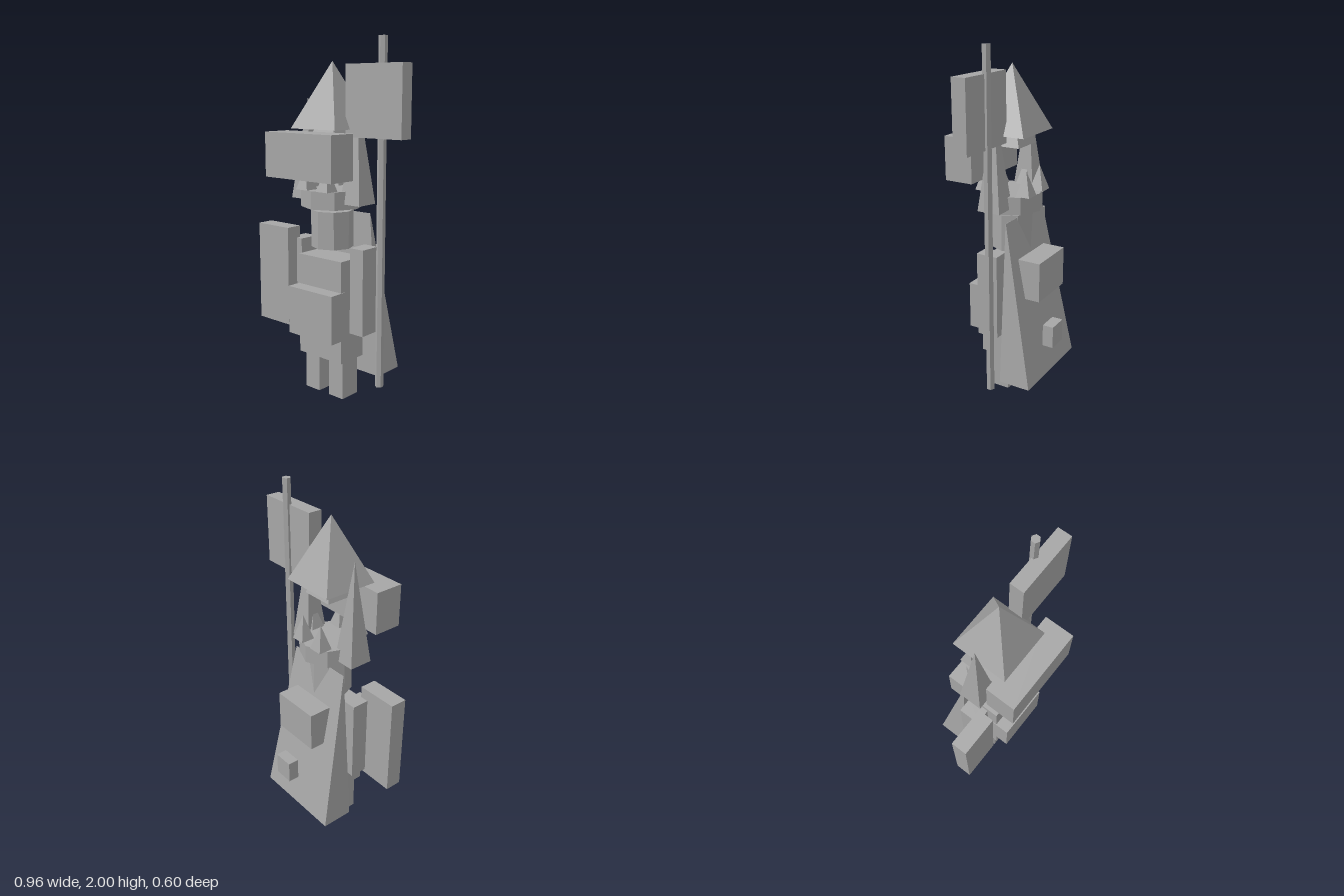
import * as THREE from 'three';

export function createModel() {
  const model = new THREE.Group();
  model.name = 'armouredFigure';
  const stone = new THREE.MeshStandardMaterial({ color: 0xa6a6a6 });
  stone.name = 'stone grey';
  const CX = -0.018, CZ = 0.022; // axis of the body

  const add = (name, geometry, x = 0, y = 0, z = 0) => {
    const mesh = new THREE.Mesh(geometry, stone);
    mesh.name = name;
    mesh.position.set(x, y, z);
    model.add(mesh);
    return mesh;
  };
  // box from its bounds on each axis
  const block = (name, [x0, x1], [y0, y1], [z0, z1]) =>
    add(name, new THREE.BoxGeometry(x1 - x0, y1 - y0, z1 - z0),
      (x0 + x1) / 2, (y0 + y1) / 2, (z0 + z1) / 2);
  // square pyramid aligned with the axes
  const pyramid = (name, half, y0, y1, x, z) => {
    const g = new THREE.ConeGeometry(half * Math.SQRT2, y1 - y0, 4);
    g.rotateY(Math.PI / 4);
    return add(name, flat(g), x, (y0 + y1) / 2, z);
  };
  const prism = (name, r, sides, y0, y1, x, z) =>
    add(name, flat(new THREE.CylinderGeometry(r, r, y1 - y0, sides)), x, (y0 + y1) / 2, z);

  // legs, arms and tall shoulder spikes, mirrored about the body axis
  for (const s of [-1, 1]) {
    const side = s > 0 ? 'left' : 'right';
    const span = (a, b) => [CX + s * a, CX + s * b].sort((p, q) => p - q);
    block(side + 'Leg', span(0.037, 0.142), [0, 0.235], [-0.031, 0.097]);
    block(side + 'Arm', span(0.183, 0.274), [0.4, 0.885], [-0.041, 0.085]);
    pyramid(side + 'TallSpike', 0.068, 1.12, 1.69, CX + s * 0.183, 0.023);
  }

  // body
  block('torso', [-0.177, 0.141], [0.225, 0.81], [-0.06, 0.13]);
  block('bellyPlate', [-0.181, 0.145], [0.36, 0.635], [0.1, 0.213]);
  prism('neck', 0.12, 8, 0.86, 1.07, CX, CZ);

  // crown with six points
  prism('crownBand', 0.175, 8, 1.09, 1.19, CX, CZ);
  for (let i = 0; i < 6; i++) {
    const a = (i * Math.PI) / 3;
    pyramid('crownPoint', 0.041, 1.19, 1.33, CX + 0.15 * Math.cos(a), CZ + 0.15 * Math.sin(a));
  }

  // stacked roof-like hat
  pyramid('hatLower', 0.095, 1.448, 1.71, CX, CZ);
  pyramid('hat', 0.161, 1.52, 1.88, CX, CZ);

  // floating front block and shield
  block('frontBlock', [-0.259, 0.223], [1.26, 1.505], [0.132, 0.3]);
  block('shield', [-0.482, -0.241], [0.375, 0.953], [0.058, 0.155]);

  // cape: a box tapering to an edge at the top, with an upright front
  const cape = new THREE.BoxGeometry(1, 1, 1).toNonIndexed();
  const p = cape.attributes.position;
  for (let i = 0; i < p.count; i++) {
    const top = p.getY(i) > 0;
    const halfWidth = top ? 0.206 : 0.276;
    const back = top ? -0.059 : -0.243;
    p.setXYZ(i, CX + Math.sign(p.getX(i)) * halfWidth, top ? 1.06 : 0.127,
      p.getZ(i) > 0 ? -0.057 : back);
  }
  cape.computeVertexNormals();
  add('cape', cape);

  // back pack and small tail block
  block('backPack', [-0.162, 0.129], [0.615, 0.842], [-0.234, -0.08]);
  block('tailBlock', [-0.034, 0.083], [0.327, 0.455], [-0.3, -0.236]);

  // banner on a hexagonal pole
  prism('bannerPole', 0.024, 6, 0.093, 2, 0.295, -0.018);
  block('banner', [0.111, 0.48], [1.48, 1.86], [-0.018, 0.063]);

  return model;
}

// hard facets
function flat(geometry) {
  const g = geometry.toNonIndexed();
  g.computeVertexNormals();
  return g;
}
